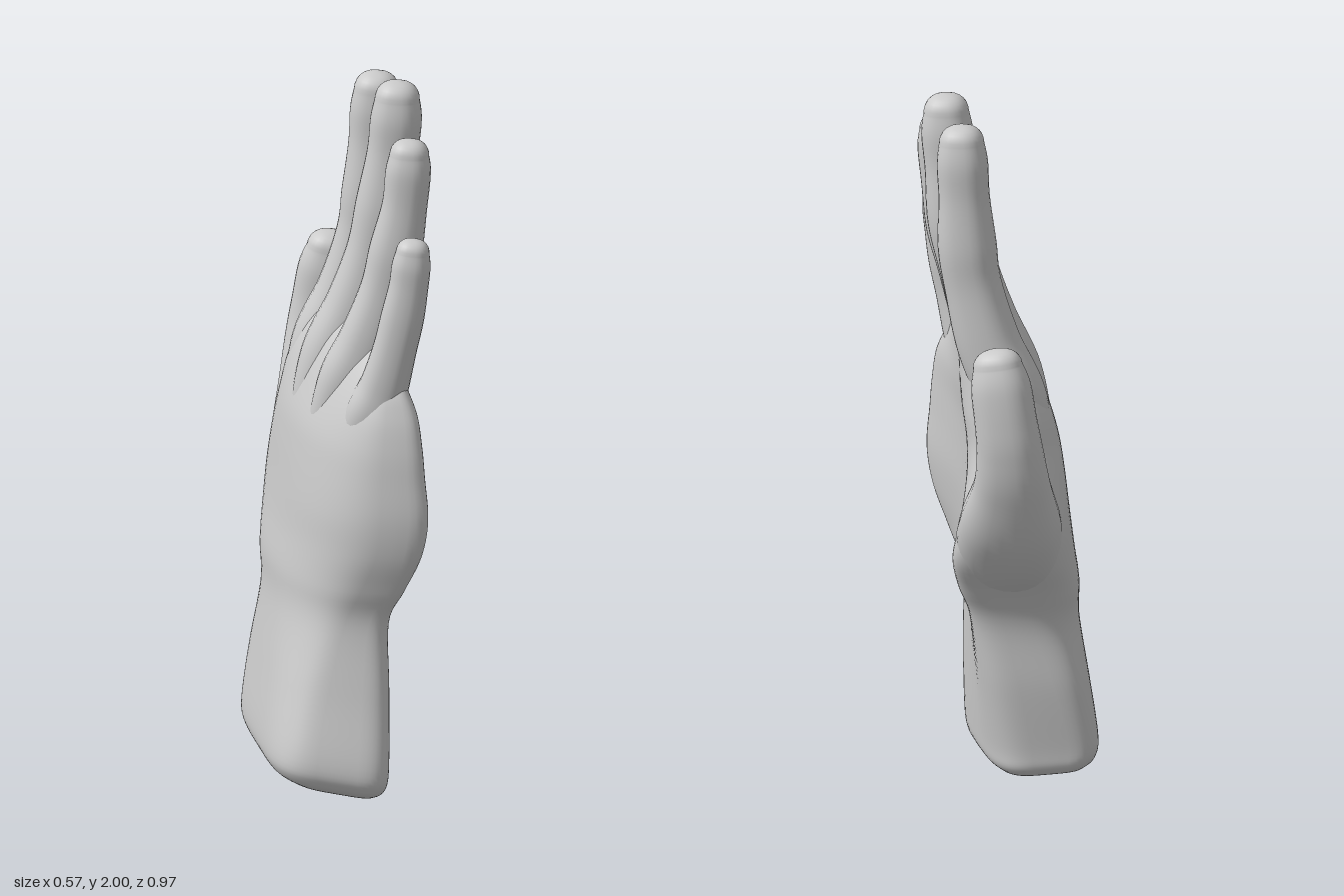
import * as THREE from 'three';

const material = new THREE.MeshStandardMaterial({ color: 0xcccccc });

// Catmull-Rom blend through rows of numbers, column by column
function sampleRows(rows, t) {
  const i = Math.min(Math.floor(t), rows.length - 2), f = t - i;
  const at = (k) => rows[Math.max(0, Math.min(rows.length - 1, k))];
  return rows[i].map((_, c) => {
    const a = at(i - 1)[c], b = at(i)[c], d = at(i + 1)[c], e = at(i + 2)[c];
    return 0.5 * (2 * b + (d - a) * f + (2 * a - 5 * b + 4 * d - e) * f * f + (3 * b - a - 3 * d + e) * f ** 3);
  });
}

// Skin a stack of closed rings and cap both ends
function loft(name, rings) {
  const n = rings[0].length, index = [];
  const centre = (ring) => ring.reduce((s, p) => s.add(p), new THREE.Vector3()).divideScalar(n);
  const last = (rings.length - 1) * n, bottom = rings.length * n, top = bottom + 1;
  for (let j = 0; j < n; j++) {
    const k = (j + 1) % n;
    for (let i = 0; i < last; i += n) index.push(i + j, i + k, i + n + j, i + k, i + n + k, i + n + j);
    index.push(bottom, k, j, top, last + j, last + k);
  }
  const geometry = new THREE.BufferGeometry().setFromPoints([...rings.flat(), centre(rings[0]), centre(rings.at(-1))]);
  geometry.setIndex(index);
  geometry.computeVertexNormals();
  const mesh = new THREE.Mesh(geometry, material);
  mesh.name = name;
  return mesh;
}

const power = (v, e) => Math.sign(v) * Math.abs(v) ** e;

// Wrist and palm: each row is y, z of little-finger edge, z of thumb edge,
// x of the palm face and x of the back face (little-finger side, middle, thumb side),
// then the squareness of the section (smaller is squarer)
const PALM = [
  [0.00, 0.44, -0.07, 0.14, 0.06, -0.02, -0.13, -0.20, -0.27, 0.5],
  [0.03, 0.475, -0.09, 0.17, 0.09, 0.00, -0.16, -0.23, -0.30, 0.45],
  [0.10, 0.485, -0.10, 0.18, 0.10, 0.01, -0.165, -0.235, -0.31, 0.45],
  [0.30, 0.44, -0.13, 0.18, 0.10, 0.04, -0.14, -0.22, -0.29, 0.5],
  [0.50, 0.41, -0.15, 0.18, 0.10, 0.08, -0.10, -0.20, -0.26, 0.58],
  [0.61, 0.435, -0.20, 0.23, 0.10, 0.12, -0.08, -0.20, -0.27, 0.62],
  [0.72, 0.465, -0.275, 0.28, 0.10, 0.13, -0.06, -0.19, -0.27, 0.65],
  [0.83, 0.477, -0.31, 0.30, 0.10, 0.10, -0.05, -0.18, -0.26, 0.65],
  [0.95, 0.47, -0.27, 0.29, 0.11, 0.08, -0.03, -0.16, -0.24, 0.65],
  [1.04, 0.46, -0.235, 0.28, 0.12, 0.08, -0.01, -0.14, -0.22, 0.65],
  [1.13, 0.44, -0.22, 0.26, 0.13, 0.09, 0.02, -0.11, -0.20, 0.65],
  [1.21, 0.405, -0.21, 0.22, 0.13, 0.09, 0.05, -0.08, -0.165, 0.7],
  [1.28, 0.33, -0.195, 0.18, 0.12, 0.085, 0.06, -0.05, -0.11, 0.75],
  [1.34, 0.25, -0.17, 0.13, 0.09, 0.07, 0.07, 0.00, -0.04, 0.8],
];

function makePalm() {
  const rings = [], sides = 72, steps = 6;
  for (let i = 0; i <= (PALM.length - 1) * steps; i++) {
    const [y, zA, zB, pA, pM, pB, dA, dM, dB, e] = sampleRows(PALM, i / steps);
    const ring = [];
    for (let j = 0; j < sides; j++) {
      const a = (j / sides) * Math.PI * 2;
      const s = power(Math.cos(a), e), q = s / 0.8;
      const face = (u, m, v) => m + (u - v) / 2 * q + ((u + v) / 2 - m) * q * q;
      const p = face(pA, pM, pB), d = face(dA, dM, dB);
      const x = (p + d) / 2 + (p - d) / 2 * power(Math.sin(a), e);
      // the cut end of the wrist slopes up towards the back of the hand
      const slope = Math.max(0, 0.02 - 0.15 * x) * Math.max(0, 1 - y / 0.5);
      ring.push(new THREE.Vector3(x, y + slope, (zA + zB) / 2 + (zA - zB) / 2 * s));
    }
    rings.push(ring);
  }
  return loft('palm and wrist', rings);
}

// Finger rows are x, y, z, radius; the tip is rounded off past the last row
function makeFinger(name, rows, depth) {
  const rings = [], sides = 28, steps = 7, end = rows.length - 1;
  const addRing = (c, t, r) => {
    const w = new THREE.Vector3(0, 0, 1).addScaledVector(t, -t.z).normalize();
    const v = new THREE.Vector3().crossVectors(t, w);
    rings.push(Array.from({ length: sides }, (_, j) => {
      const a = (j / sides) * Math.PI * 2;
      return c.clone().addScaledVector(w, r * power(Math.cos(a), 0.85)).addScaledVector(v, r * depth * power(Math.sin(a), 0.85));
    }));
  };
  const point = (t) => new THREE.Vector3(...sampleRows(rows, t).slice(0, 3));
  let c, tangent, r;
  for (let i = 0; i <= end * steps; i++) {
    const t = i / steps;
    c = point(t);
    r = sampleRows(rows, t)[3];
    tangent = point(Math.min(end, t + 0.05)).sub(point(Math.max(0, t - 0.05))).normalize();
    addRing(c, tangent, r);
  }
  for (let k = 1; k <= 7; k++) {
    const a = (k / 7) * Math.PI * 0.49;
    addRing(c.clone().addScaledVector(tangent, r * 0.85 * Math.sin(a)), tangent, r * Math.cos(a) ** 0.8);
  }
  return loft(name, rings);
}

// Each finger starts inside the back of the hand, swells at the knuckle and runs to the tip
const FINGERS = {
  indexFinger: [
    [-0.12, 0.85, -0.05, 0.03], [-0.115, 1.00, -0.08, 0.06], [-0.07, 1.17, -0.115, 0.088], [0.00, 1.33, -0.12, 0.085],
    [0.045, 1.50, -0.12, 0.076], [0.062, 1.62, -0.12, 0.078], [0.07, 1.76, -0.122, 0.068], [0.075, 1.86, -0.122, 0.068], [0.078, 1.92, -0.12, 0.06]],
  middleFinger: [
    [-0.09, 0.85, 0.08, 0.03], [-0.085, 1.00, 0.065, 0.06], [-0.03, 1.18, 0.05, 0.088], [0.04, 1.34, 0.05, 0.085],
    [0.09, 1.50, 0.052, 0.077], [0.12, 1.64, 0.052, 0.08], [0.14, 1.79, 0.055, 0.069], [0.15, 1.89, 0.057, 0.069], [0.153, 1.95, 0.057, 0.06]],
  ringFinger: [
    [-0.04, 0.85, 0.195, 0.03], [-0.03, 1.00, 0.205, 0.055], [0.03, 1.16, 0.215, 0.083], [0.085, 1.29, 0.225, 0.077],
    [0.135, 1.44, 0.227, 0.068], [0.165, 1.56, 0.227, 0.071], [0.19, 1.69, 0.23, 0.061], [0.2, 1.79, 0.23, 0.061], [0.203, 1.84, 0.23, 0.053]],
  littleFinger: [
    [0.05, 0.82, 0.30, 0.03], [0.06, 0.95, 0.32, 0.05], [0.11, 1.10, 0.345, 0.075], [0.145, 1.20, 0.36, 0.066],
    [0.175, 1.31, 0.37, 0.059], [0.198, 1.41, 0.373, 0.058], [0.215, 1.50, 0.376, 0.053], [0.222, 1.56, 0.376, 0.052], [0.226, 1.60, 0.376, 0.045]],
};

// The thumb grows out of the swollen ball of the palm
const THUMB = [
  [-0.06, 0.58, 0.00, 0.07], [-0.065, 0.73, -0.15, 0.12], [-0.09, 0.86, -0.28, 0.118], [-0.11, 1.00, -0.37, 0.09],
  [-0.11, 1.11, -0.403, 0.078], [-0.10, 1.20, -0.41, 0.073], [-0.085, 1.30, -0.405, 0.07], [-0.075, 1.36, -0.40, 0.058]];

export function createModel() {
  const hand = new THREE.Group();
  hand.name = 'hand';
  hand.add(makePalm());
  for (const [name, rows] of Object.entries(FINGERS)) hand.add(makeFinger(name, rows, 1.05));
  hand.add(makeFinger('thumb', THUMB, 1.2));
  return hand;
}
